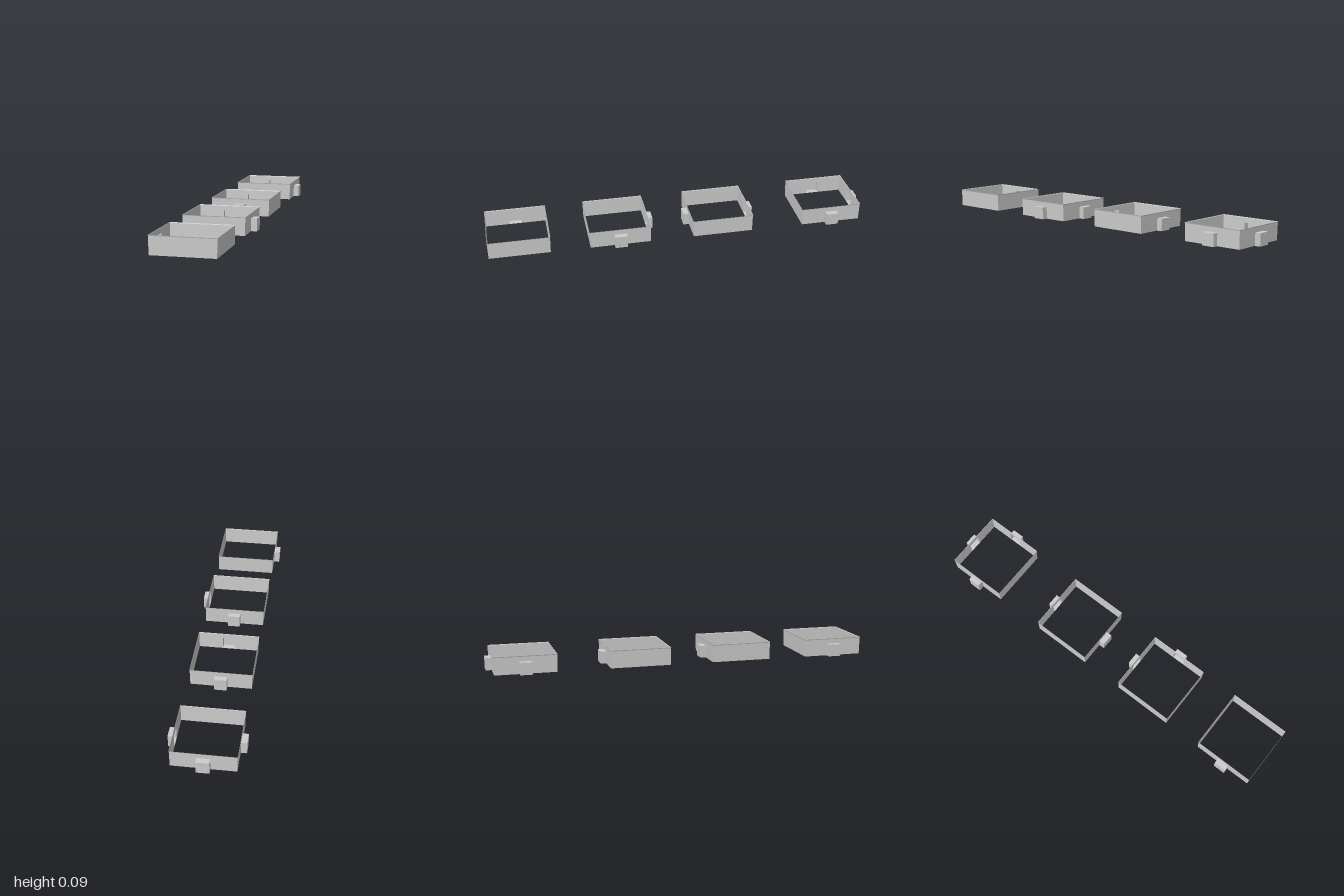
import * as THREE from 'three';

const HEIGHT = 0.092, LIP = 0.088;
const DOOR_HALF = 0.032, DOOR_H = 0.064, DOOR_DEPTH = 0.03;

// Distance of the slightly flared wall from the room centre at height y
const wallAt = (y) => 0.157 + 0.0015 * Math.min(y / LIP, 1) + (y > LIP ? 0.0015 * (y - LIP) / (HEIGHT - LIP) : 0);

const material = new THREE.MeshStandardMaterial({ color: 0xcccccc, flatShading: true, side: THREE.DoubleSide });

// Move each vertex out to the flared wall plane; z = 0 lies on the wall
function flare(geometry) {
  const p = geometry.attributes.position;
  for (let i = 0; i < p.count; i++) p.setZ(i, p.getZ(i) + wallAt(p.getY(i)));
  geometry.computeVertexNormals();
  return geometry;
}

function addMesh(parent, geometry, name) {
  const mesh = new THREE.Mesh(geometry, material);
  mesh.name = name;
  parent.add(mesh);
}

// Thin wall facing +z, with an optional doorway cut up from the ground
function wallGeometry(hasDoor) {
  const s = new THREE.Shape();
  s.moveTo(-wallAt(0), 0);
  if (hasDoor) {
    s.lineTo(-DOOR_HALF, 0);
    s.lineTo(-DOOR_HALF, DOOR_H);
    s.lineTo(DOOR_HALF, DOOR_H);
    s.lineTo(DOOR_HALF, 0);
  }
  s.lineTo(wallAt(0), 0);
  s.lineTo(wallAt(LIP), LIP);
  s.lineTo(-wallAt(LIP), LIP);
  s.closePath();
  return flare(new THREE.ShapeGeometry(s));
}

// Narrow outward lip along the top of a wall
function lipGeometry() {
  const s = new THREE.Shape();
  s.moveTo(-wallAt(LIP), LIP);
  s.lineTo(wallAt(LIP), LIP);
  s.lineTo(wallAt(HEIGHT), HEIGHT);
  s.lineTo(-wallAt(HEIGHT), HEIGHT);
  s.closePath();
  return flare(new THREE.ShapeGeometry(s));
}

// Shallow box behind the doorway, open towards the room
function alcoveGeometry() {
  const g = new THREE.BoxGeometry(DOOR_HALF * 2, DOOR_H, DOOR_DEPTH);
  g.setIndex(Array.from(g.index.array).slice(0, 30)); // drop the inner face
  g.clearGroups();
  g.translate(0, DOOR_H / 2, DOOR_DEPTH / 2);
  return flare(g);
}

// Sides in order: front (+z), left (+x), back (-z), right (-x)
const SIDES = ['front', 'left', 'back', 'right'];
const ROOMS = [
  { z: -0.812, doors: ['left', 'right', 'back'] },
  { z: -0.222, doors: ['front', 'back'] },
  { z: 0.321, doors: ['left', 'back'] },
  { z: 0.84, doors: ['right'] },
];

export function createModel() {
  const model = new THREE.Group();
  model.name = 'rooms';
  ROOMS.forEach(({ z, doors }, n) => {
    const room = new THREE.Group();
    room.name = `room${n + 1}`;
    room.position.z = z;
    SIDES.forEach((side, i) => {
      const hasDoor = doors.includes(side);
      const part = new THREE.Group();
      part.name = `${side}Side`;
      part.rotation.y = i * Math.PI / 2;
      addMesh(part, wallGeometry(hasDoor), `${side}Wall`);
      addMesh(part, lipGeometry(), `${side}Lip`);
      if (hasDoor) addMesh(part, alcoveGeometry(), `${side}DoorAlcove`);
      room.add(part);
    });
    model.add(room);
  });
  return model;
}
